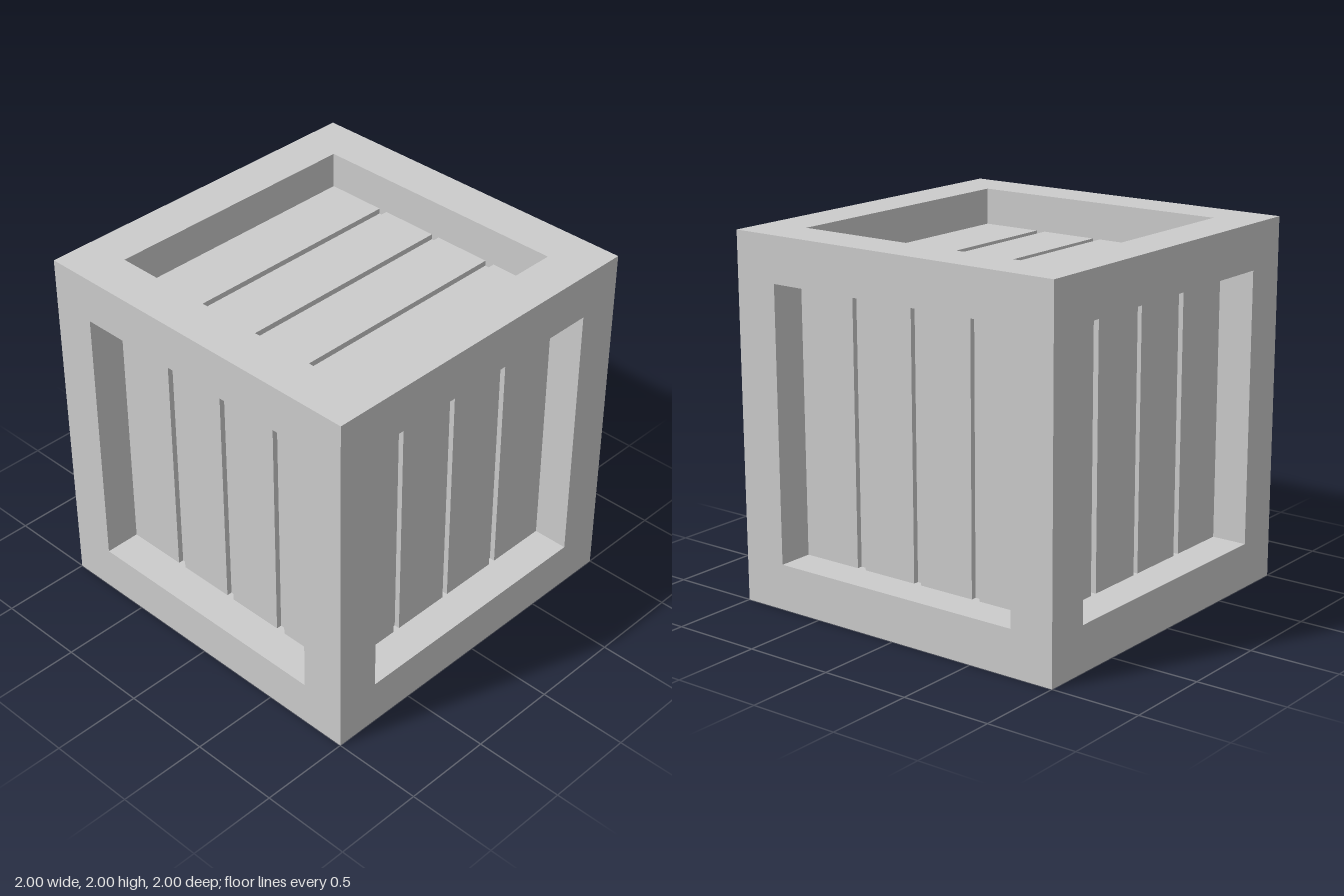
import * as THREE from 'three';

const OUT = 1;      // half size of the crate
const IN = 0.75;    // half size of each framed opening
const PLANK = 0.8;  // distance of the plank faces from the centre
const CORE = 0.77;  // distance of the groove floors from the centre
const LAP = 0.01;   // plank ends tucked under the frame

// Grooves between planks: [start, end] across a face
const WIDE_GAPS = [[-0.405, -0.355], [-0.026, 0.02], [0.348, 0.402]];
const SIDE_GAPS = [[-0.4, -0.357], [-0.02, 0.016], [0.355, 0.398]];

export function createModel() {
  const crate = new THREE.Group();
  crate.name = 'crate';
  const material = new THREE.MeshStandardMaterial({ color: 0xcccccc, flatShading: true });

  // Mitred square frame: flat rim and the walls of the recess
  const r = Math.SQRT2;
  const frameGeometry = new THREE.LatheGeometry([
    new THREE.Vector2(OUT * r, OUT),
    new THREE.Vector2(IN * r, OUT),
    new THREE.Vector2(IN * r, CORE),
  ], 4, Math.PI / 4).toNonIndexed();
  frameGeometry.computeVertexNormals();

  // One face, facing up, with planks running along z
  function makeFace(name, gaps) {
    const face = new THREE.Group();
    face.name = name;
    const frame = new THREE.Mesh(frameGeometry, material);
    frame.name = 'frame';
    face.add(frame);

    const edges = [-IN - LAP, ...gaps.flat(), IN + LAP];
    for (let i = 0; i < edges.length; i += 2) {
      const [a, b] = [edges[i], edges[i + 1]];
      const height = PLANK - CORE + LAP;
      const plank = new THREE.Mesh(new THREE.BoxGeometry(b - a, height, 2 * (IN + LAP)), material);
      plank.name = 'plank';
      plank.position.set((a + b) / 2, PLANK - height / 2, 0);
      face.add(plank);
    }
    return face;
  }

  // Six faces: name, grooves, turn about x, then turn about y
  const q = Math.PI / 2;
  const faces = [
    ['topFace', WIDE_GAPS, 0, 0],
    ['bottomFace', WIDE_GAPS, 2 * q, 0],
    ['frontFace', WIDE_GAPS, q, 0],
    ['backFace', WIDE_GAPS, -q, 0],
    ['leftFace', SIDE_GAPS, q, q],
    ['rightFace', SIDE_GAPS, q, -q],
  ];
  for (const [name, gaps, turnX, turnY] of faces) {
    const face = makeFace(name, gaps);
    face.rotation.set(turnX, turnY, 0, 'YXZ');
    face.position.y = OUT;
    crate.add(face);
  }

  // Inner box closing the bottom of the grooves
  const core = new THREE.Mesh(new THREE.BoxGeometry(2 * CORE, 2 * CORE, 2 * CORE), material);
  core.name = 'innerBox';
  core.position.y = OUT;
  crate.add(core);

  return crate;
}
